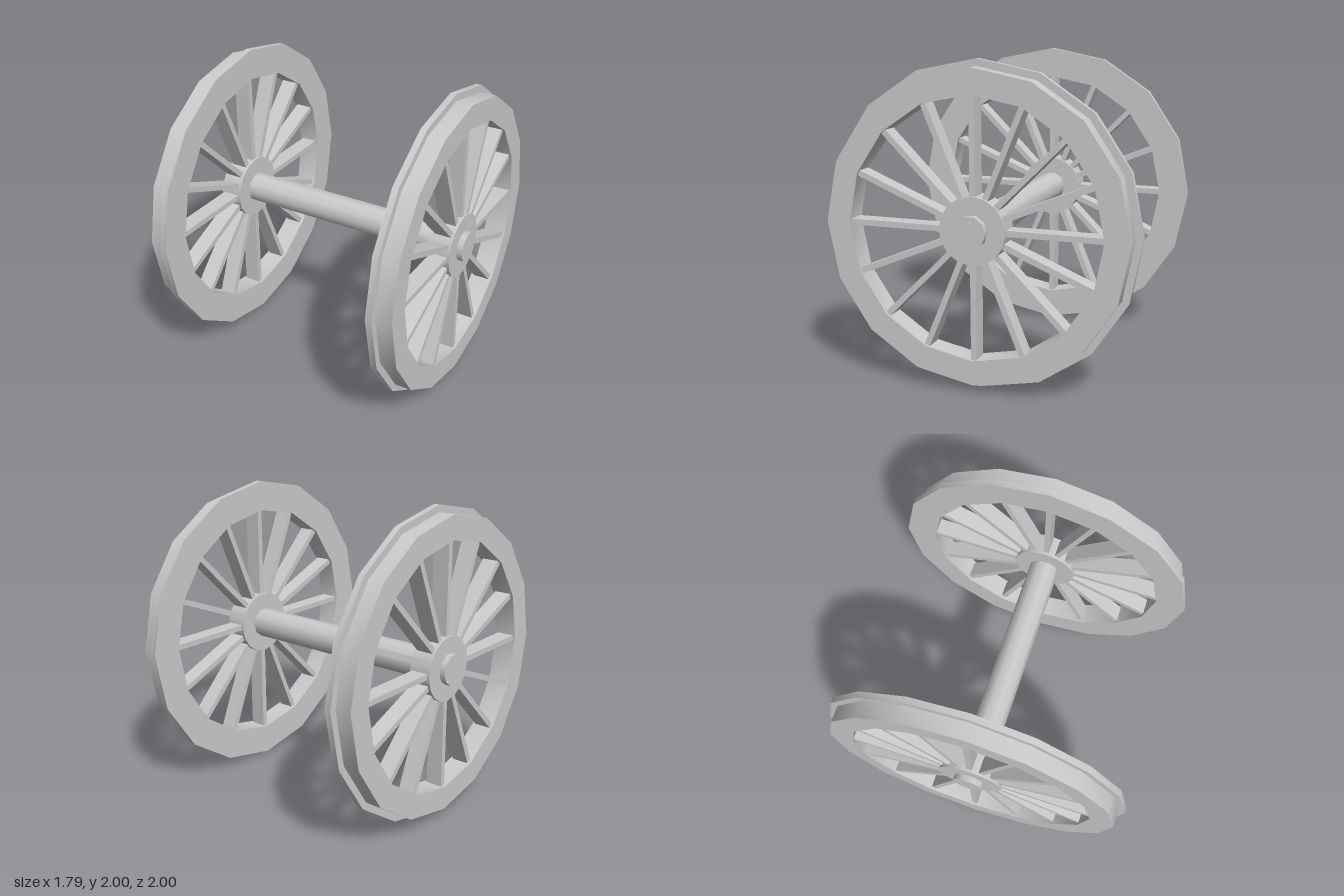
import * as THREE from 'three';
import { toCreasedNormals } from 'three/addons/utils/BufferGeometryUtils.js';

const SIDES = 16;
const material = new THREE.MeshStandardMaterial({ color: 0xcccccc });

function part(name, geometry) {
  const mesh = new THREE.Mesh(geometry, material);
  mesh.name = name;
  return mesh;
}

// Solid cylinder lying along x, smooth round the side and sharp at the caps
function bar(radius, x0, x1, sides) {
  return new THREE.CylinderGeometry(radius, radius, x1 - x0, sides)
    .rotateZ(-Math.PI / 2).translate((x0 + x1) / 2, 0, 0);
}

// One wheel on the +x side, its flange facing the middle of the axle
function createWheel(name) {
  const wheel = new THREE.Group();
  wheel.name = name;

  // Rim: closed stepped section of flange and tread, as [radius, x]
  const section = [
    [0.8, 0.71], [1, 0.71], [1, 0.75], [0.955, 0.75],
    [0.955, 0.857], [0.8, 0.857], [0.8, 0.71],
  ].map(([r, x]) => new THREE.Vector2(r, x));
  const rim = new THREE.LatheGeometry(section, SIDES).rotateZ(-Math.PI / 2);
  wheel.add(part('rim', toCreasedNormals(rim, 0.5)));

  wheel.add(part('hub', bar(0.21, 0.712, 0.855, SIDES)));

  // Spokes run from inside the hub to the corners of the rim
  const spokeShape = new THREE.BoxGeometry(0.11, 0.66, 0.036).translate(0.785, 0.475, 0);
  for (let i = 0; i < SIDES; i++) {
    const spoke = part('spoke', spokeShape);
    spoke.rotation.x = (i / SIDES) * Math.PI * 2;
    wheel.add(spoke);
  }
  return wheel;
}

export function createModel() {
  const model = new THREE.Group();
  model.name = 'wheelset';

  const assembly = new THREE.Group();
  assembly.name = 'axleAndWheels';
  assembly.position.y = 1;
  model.add(assembly);

  assembly.add(part('axle', bar(0.1, -0.893, 0.893, 10)));

  const leftWheel = createWheel('leftWheel');
  const rightWheel = createWheel('rightWheel');
  rightWheel.rotation.y = Math.PI;
  assembly.add(leftWheel, rightWheel);

  return model;
}
